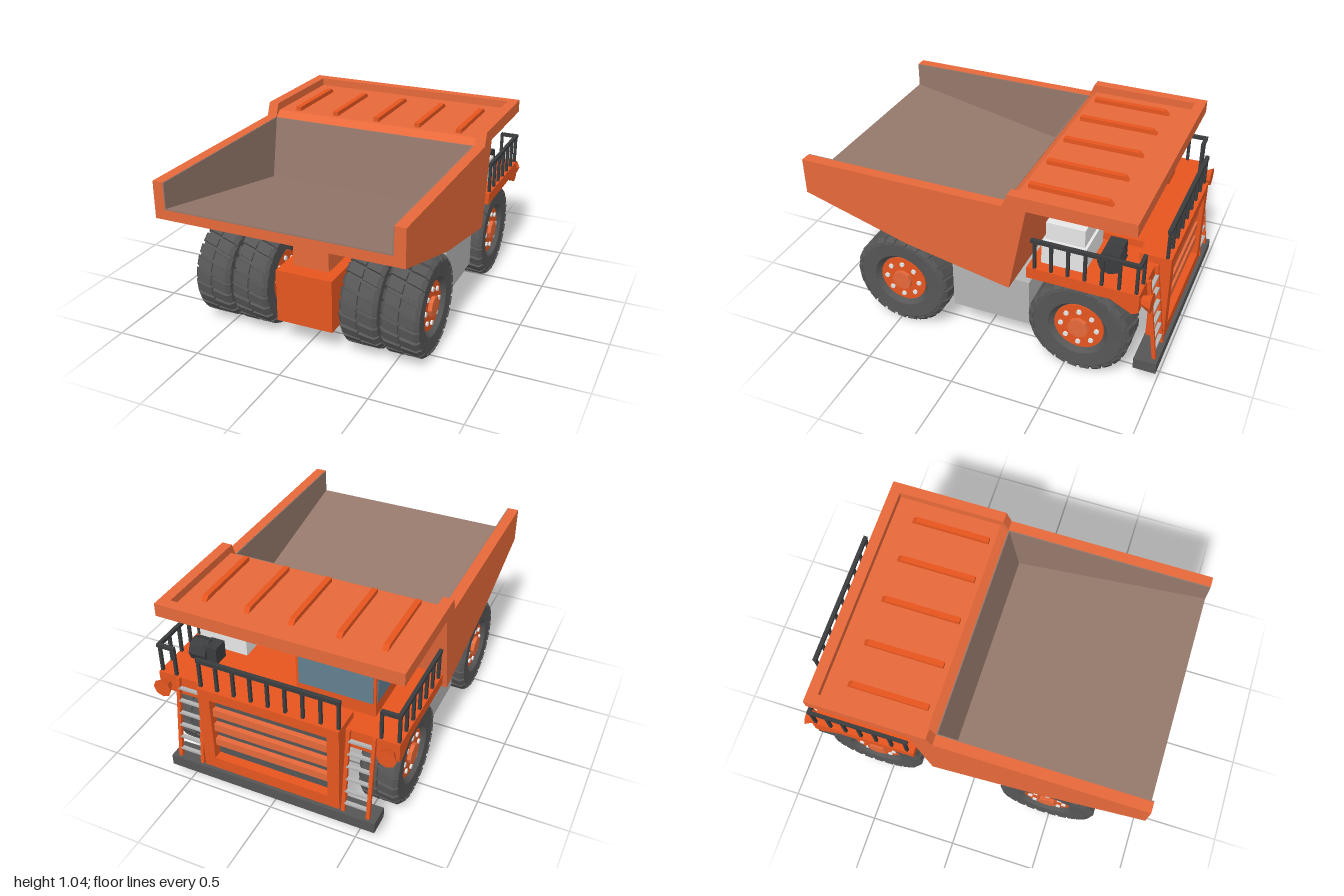
import * as THREE from 'three';
import { mergeGeometries } from 'three/addons/utils/BufferGeometryUtils.js';

const mat = (name, color) => {
  const m = new THREE.MeshStandardMaterial({ color });
  m.name = name;
  m.flatShading = true;
  return m;
};

export function createModel() {
  const M = {
    body: mat('body orange', 0xe6693a), chassis: mat('chassis orange', 0xe6551f),
    lining: mat('worn lining', 0x95786b), rubber: mat('rubber', 0x565656),
    rail: mat('rail black', 0x3a3c3e), tank: mat('tank grey', 0xb4b4b4),
    box: mat('pale grey', 0xe8e8e8), glass: mat('glass', 0x628090),
  };
  const root = new THREE.Group();
  root.name = 'miningTruck';

  const add = (name, geo, material, parent = root) => {
    const mesh = new THREE.Mesh(geo, material);
    mesh.name = name;
    parent.add(mesh);
    return mesh;
  };
  // box given by its limits on each axis
  const boxGeo = (x0, x1, y0, y1, z0, z1) =>
    new THREE.BoxGeometry(x1 - x0, y1 - y0, z1 - z0)
      .translate((x0 + x1) / 2, (y0 + y1) / 2, (z0 + z1) / 2);
  const box = (name, material, ...lim) => add(name, boxGeo(...lim), material);
  // [z, y] outline extruded across x
  const slab = (name, material, pts, x0, x1) => {
    const shape = new THREE.Shape(pts.map(p => new THREE.Vector2(...p)));
    const w = x1 - x0;
    const geo = new THREE.ExtrudeGeometry(shape, { depth: w, bevelEnabled: false })
      .translate(0, 0, -w / 2).rotateY(-Math.PI / 2).translate((x0 + x1) / 2, 0, 0);
    return add(name, geo, material);
  };
  // cylinder lying along x
  const axleGeo = (r, x0, x1, y, z, n = 16) =>
    new THREE.CylinderGeometry(r, r, x1 - x0, n).rotateZ(-Math.PI / 2).translate((x0 + x1) / 2, y, z);
  // square bar between two points
  const bar = (a, b, t) => {
    const A = new THREE.Vector3(...a), B = new THREE.Vector3(...b), d = B.clone().sub(A);
    const q = new THREE.Quaternion().setFromUnitVectors(new THREE.Vector3(0, 1, 0), d.clone().normalize());
    const c = A.add(B).multiplyScalar(0.5);
    return new THREE.BoxGeometry(t, d.length(), t).applyQuaternion(q).translate(c.x, c.y, c.z);
  };

  // ---- dump body ----
  const sidePts = [[1, .76], [1, .965], [-.165, .965], [-.195, 1.04], [-.865, 1.04],
    [-.865, .965], [-.295, .965], [-.2, .462], [.4, .58]];
  const midPts = [[1, .76], [1, .815], [-.1, .595], [-.165, .96], [-.21, .995], [-.865, .995],
    [-.865, .965], [-.295, .965], [-.2, .462], [.4, .58]];
  slab('dumpFloorAndCanopy', M.body, midPts, -.625, .625);
  slab('dumpLining', M.lining, [[1, .815], [1, .822], [-.094, .603], [-.158, .962], [-.165, .962], [-.1, .595]], -.625, .625);
  for (const s of [-1, 1]) {
    const [a, b] = s > 0 ? [.625, .685] : [-.685, -.625];
    slab('dumpSide', M.body, sidePts, a, b);
    const [c, d] = s > 0 ? [.619, .626] : [-.626, -.619];
    slab('sideLining', M.lining, [[1, .82], [1, .964], [-.16, .964], [-.095, .6]], c, d);
  }
  box('canopyFrontRim', M.body, -.625, .625, .995, 1.04, -.865, -.805);
  for (const x of [-.51, -.265, 0, .255, .505])
    slab('canopyRib', M.chassis, [[-.24, .99], [-.24, 1.02], [-.665, 1.02], [-.695, .99]], x - .016, x + .016);

  // ---- chassis ----
  box('frame', M.chassis, -.165, .165, .13, .435, -.9, .71);
  slab('hingePost', M.body, [[.62, .43], [.62, .61], [.4, .57], [.4, .43]], -.105, .105);
  add('hingePin', axleGeo(.036, -.145, .145, .625, .628, 12), M.chassis);
  for (const z of [.47, -.575]) add('axle', axleGeo(.042, -.5, .5, .28, z), M.body);
  box('leftTank', M.tank, .165, .6, .175, .455, -.28, .17);
  box('rightTank', M.tank, -.6, -.165, .175, .455, -.28, .17);
  box('bumper', M.rubber, -.605, .605, .075, .14, -1, -.875);

  // ---- wheels ----
  const lugs = [];
  const count = 24;
  for (let i = 0; i < count; i++) for (const s of [-1, 1]) {
    const g = new THREE.BoxGeometry(.104, .03, .05, 5, 1, 1);
    const p = g.attributes.position;
    for (let k = 0; k < p.count; k++) {
      const x = p.getX(k);
      p.setZ(k, p.getZ(k) + x * .28);
      if (x * s > .05 && p.getY(k) > 0) p.setY(k, -.006); // bevelled shoulder
    }
    g.translate(s * .055, .264, 0).rotateX((i + (s > 0 ? .5 : 0)) * Math.PI * 2 / count);
    lugs.push(g);
  }
  const carcass = new THREE.LatheGeometry([[0, -.085], [.14, -.085], [.165, -.1], [.245, -.104], [.264, -.09],
    [.264, .09], [.245, .104], [.165, .1], [.14, .068], [0, .068]].map(p => new THREE.Vector2(...p)), 32)
    .rotateZ(-Math.PI / 2);
  const tread = mergeGeometries(lugs);
  const rim = axleGeo(.138, .06, .078, 0, 0, 24);
  const hub = axleGeo(.058, .07, .1, 0, 0, 8);
  const bolts = mergeGeometries([...Array(8)].map((_, i) => {
    const a = i * Math.PI / 4;
    return axleGeo(.014, .075, .088, .1 * Math.cos(a), .1 * Math.sin(a), 8);
  }));
  // facing is the side (+1 or -1 in x) that the rim looks towards
  const wheel = (x, z, facing, name) => {
    const g = new THREE.Group();
    g.name = name;
    g.position.set(x, .28, z);
    if (facing < 0) g.rotation.y = Math.PI;
    add('tyre', carcass, M.rubber, g);
    add('tread', tread, M.rubber, g);
    add('rim', rim, M.chassis, g);
    add('hub', hub, M.body, g);
    add('bolts', bolts, M.box, g);
    root.add(g);
  };
  for (const s of [-1, 1]) {
    wheel(s * .552, .47, s, 'outerDumpWheel');
    wheel(s * .32, .47, -s, 'innerDumpWheel');
    wheel(s * .552, -.575, s, 'cabWheel');
  }

  // ---- deck and radiator ----
  slab('deck', M.chassis, [[-.3, .565], [-.3, .63], [-.9, .63], [-.9, .52], [-.865, .505], [-.75, .565]], -.688, .688);
  box('engineBay', M.chassis, -.3, .3, .43, .67, -.88, -.3);
  box('radiatorHood', M.chassis, -.4, .4, .6, .67, -.94, -.81);
  box('radiatorBack', M.chassis, -.4, .4, .14, .67, -.92, -.88);
  box('radiatorCore', M.rubber, -.34, .34, .19, .62, -.928, -.919);
  for (const s of [-1, 1]) box('grilleSide', M.chassis, s * .367 - .033, s * .367 + .033, .14, .67, -.98, -.915);
  box('grilleTop', M.chassis, -.335, .335, .61, .67, -.98, -.915);
  box('grilleBase', M.chassis, -.335, .335, .14, .21, -.98, -.915);
  for (let i = 1; i < 4; i++) {
    const y = .21 + i * .1;
    box('grilleSlat', M.body, -.335, .335, y - .023, y + .023, -.958, -.925);
  }

  // ---- cab ----
  box('cab', M.chassis, -.5, -.06, .63, .92, -.76, -.34);
  box('cabRoof', M.body, -.52, -.04, .918, .955, -.78, -.31);
  box('windscreen', M.glass, -.485, -.075, .71, .89, -.764, -.758);
  box('leftWindow', M.glass, -.062, -.056, .71, .89, -.745, -.355);
  box('rightWindow', M.glass, -.504, -.498, .71, .89, -.745, -.355);

  // ---- deck equipment ----
  box('upperCabinet', M.box, .33, .6, .77, .87, -.58, -.37);
  box('lowerCabinet', M.box, .33, .62, .63, .76, -.59, -.355);
  add('airCleaner', axleGeo(.066, .48, .58, .695, -.705, 8), M.rail);
  box('airCleanerCap', M.rail, .42, .5, .65, .75, -.75, -.66);

  // ---- railings, lamps and ladders ----
  const rails = [];
  for (const s of [-1, 1]) {
    const x = s * .676;
    for (let i = 0; i < 7; i++) {
      const z = -.34 - i * .09;
      rails.push(bar([x, .62, z], [x, .8, z], .016));
    }
    rails.push(bar([x, .797, -.32], [x, .797, -.897], .02));
    rails.push(bar([x, .797, -.888], [s * .58, .797, -.888], .02));
    rails.push(bar([s * .585, .62, -.888], [s * .585, .8, -.888], .016));

    add('lamp', new THREE.CylinderGeometry(.028, .054, .05, 8).rotateX(Math.PI / 2)
      .translate(s * .64, .567, -.93), M.chassis);
    box('lampBracket', M.chassis, s * .64 - .02, s * .64 + .02, .545, .585, -.915, -.89);

    const stiles = [], rungs = [];
    for (const o of [-.069, .069])
      stiles.push(bar([s * .49 + o, .13, -.976], [s * .49 + o, .635, -.91], .02));
    for (let i = 0; i < 6; i++) {
      const t = (i + .7) / 6.4, y = .14 + t * .49, z = -.975 + t * .063;
      rungs.push(boxGeo(s * .49 - .065, s * .49 + .065, y - .006, y + .006, z - .01, z + .01));
    }
    add('ladderStiles', mergeGeometries(stiles), M.chassis);
    add('ladderRungs', mergeGeometries(rungs), M.tank);
  }
  for (let i = 0; i < 9; i++) {
    const x = -.39 + i * .0975;
    rails.push(bar([x, .66, -.956], [x, .83, -.956], .016));
  }
  rails.push(bar([-.4, .835, -.956], [.4, .835, -.956], .022));
  add('railings', mergeGeometries(rails), M.rail);

  return root;
}
